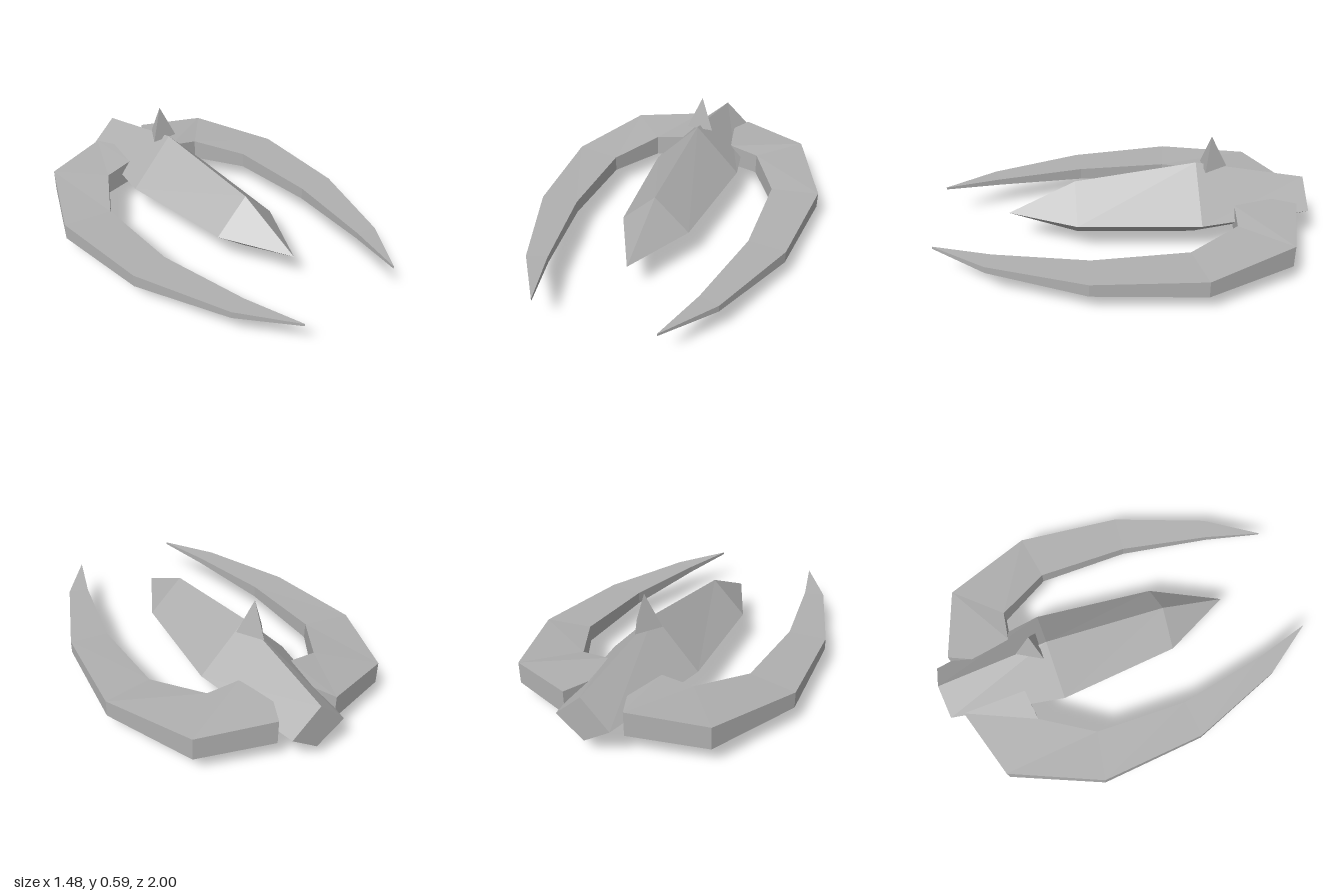
import * as THREE from 'three';

// Joins rings of points into a closed, faceted solid.
// Rings run clockwise when seen from the first ring's end.
function loft(rings) {
  const pos = [];
  const tri = (a, b, c) => {
    const [A, B, C] = [a, b, c].map((p) => new THREE.Vector3(...p));
    const area = B.clone().sub(A).cross(C.clone().sub(A)).length();
    if (area > 1e-7) pos.push(...a, ...b, ...c);
  };
  const n = rings[0].length;
  for (let i = 0; i < rings.length - 1; i++) {
    const r = rings[i], s = rings[i + 1];
    for (let j = 0; j < n; j++) {
      const k = (j + 1) % n;
      tri(r[j], r[k], s[j]);
      tri(r[k], s[k], s[j]);
    }
  }
  const first = rings[0], last = rings[rings.length - 1];
  for (let j = 1; j < n - 1; j++) {
    tri(first[0], first[j + 1], first[j]);
    tri(last[0], last[j], last[j + 1]);
  }
  const geo = new THREE.BufferGeometry();
  geo.setAttribute('position', new THREE.Float32BufferAttribute(pos, 3));
  geo.computeVertexNormals();
  return geo;
}

export function createModel() {
  const model = new THREE.Group();
  model.name = 'spaceship';
  const grey = new THREE.MeshStandardMaterial({ color: 0xb0b0b0, flatShading: true });
  grey.name = 'hull grey';
  const add = (name, rings) => {
    const mesh = new THREE.Mesh(loft(rings), grey);
    mesh.name = name;
    model.add(mesh);
  };

  // Diamond-section hull: z, half width, top, bottom
  const mid = 0.185;
  add('hull', [
    [0.63, 0, mid, mid],
    [0.265, 0.185, 0.36, 0.045],
    [-0.39, 0.25, 0.44, 0.003],
    [-1, 0.147, 0.32, 0.085],
  ].map(([z, w, t, b]) => [[0, t, z], [w, mid, z], [0, b, z], [-w, mid, z]]));

  // Dorsal fin: three-sided spike
  const apex = [0, 0.59, -0.47];
  add('dorsalFin', [
    [apex, apex, apex],
    [[-0.075, 0.412, -0.43], [0, 0.412, -0.56], [0.075, 0.412, -0.43]],
  ]);

  // Curved claw wings, tip to root: inner x, z, outer x, z, top, bottom
  const wing = [
    [0.308, 1, 0.31, 1, 0.194, 0.182],
    [0.395, 0.7, 0.5, 0.73, 0.185, 0.15],
    [0.49, 0.215, 0.69, 0.235, 0.18, 0.114],
    [0.485, -0.285, 0.74, -0.33, 0.19, 0.103],
    [0.32, -0.56, 0.54, -0.8, 0.223, 0.106],
    [0.155, -0.58, 0.165, -0.92, 0.247, 0.12],
    [0.1, -0.7, 0.1, -0.78, 0.252, 0.125],
  ];
  for (const [name, s] of [['leftWing', 1], ['rightWing', -1]]) {
    add(name, wing.map(([ix, iz, ox, oz, t, b]) => {
      const ring = [[s * ix, t, iz], [s * ox, t, oz], [s * ox, b, oz], [s * ix, b, iz]];
      return s > 0 ? ring : ring.reverse();
    }));
  }
  return model;
}
